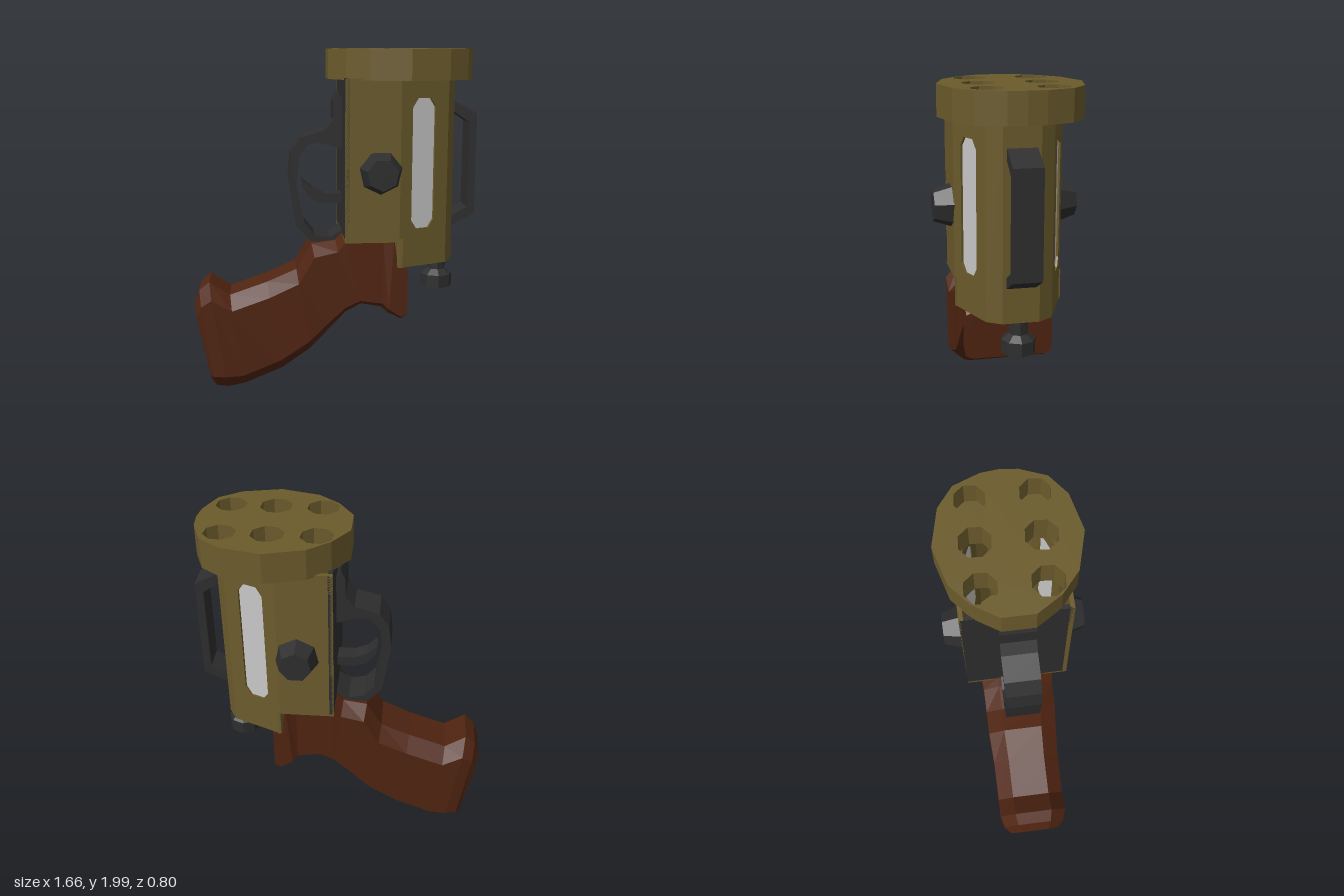
import * as THREE from 'three';

const mat = (name, color) => {
  const m = new THREE.MeshStandardMaterial({ color });
  m.name = name;
  return m;
};

const points = (list) => list.map(([x, y]) => new THREE.Vector2(x, y));

// Facet every face with its own normal
function faceted(geometry) {
  const g = geometry.index ? geometry.toNonIndexed() : geometry;
  g.computeVertexNormals();
  return g;
}

function polygon(cx, cy, r, n) {
  return Array.from({ length: n }, (_, i) => {
    const a = (i / n) * Math.PI * 2 + 0.3;
    return [cx + r * Math.cos(a), cy + r * Math.sin(a)];
  });
}

function extrude(outline, depth, holes = []) {
  const shape = new THREE.Shape(points(outline));
  holes.forEach((h) => shape.holes.push(new THREE.Path(points(h))));
  return new THREE.ExtrudeGeometry(shape, { depth, bevelEnabled: false });
}

// Side profile in x/y, centred on z
const profile = (outline, width) => extrude(outline, width).translate(0, 0, -width / 2);

// Plan outline in x/z, raised from y0 to y1
const slab = (outline, y0, y1, holes) =>
  extrude(outline, y1 - y0, holes).rotateX(-Math.PI / 2).translate(0, y0, 0);

// Upright panel from plan point a to b, its outer face on the line between them
function panel(a, b, outline, holes, depth, inset = 0) {
  const dir = new THREE.Vector3(b[0] - a[0], 0, b[1] - a[1]).normalize();
  const up = new THREE.Vector3(0, 1, 0);
  const basis = new THREE.Matrix4().makeBasis(dir, up, dir.clone().cross(up));
  basis.setPosition(a[0], 0, a[1]);
  return extrude(outline, depth, holes).translate(0, 0, -depth - inset).applyMatrix4(basis);
}

const rect = (x0, y0, x1, y1) => [[x0, y0], [x1, y0], [x1, y1], [x0, y1]];

// Chamfered cross-sections: [topX, topY, bottomX, bottomY, halfWidth, chamfer]
function gripGeometry(stations) {
  const pos = [];
  const index = [];
  for (const [tx, ty, bx, by, w, c] of stations) {
    const k = c < 0.1 ? 0.85 : 0.55;
    const loop = [[0, k], [c, 1], [1 - c, 1], [1, k], [1, -k], [1 - c, -1], [c, -1], [0, -k]];
    for (const [t, s] of loop) pos.push(tx + (bx - tx) * t, ty + (by - ty) * t, s * w);
  }
  const last = (stations.length - 1) * 8;
  for (let i = 0; i < last; i += 8) {
    for (let j = 0; j < 8; j++) {
      const k = (j + 1) % 8;
      index.push(i + j, i + k, i + 8 + k, i + j, i + 8 + k, i + 8 + j);
    }
  }
  for (let j = 1; j < 7; j++) {
    index.push(0, j + 1, j, last, last + j, last + j + 1);
  }
  const g = new THREE.BufferGeometry();
  g.setAttribute('position', new THREE.Float32BufferAttribute(pos, 3));
  g.setIndex(index);
  return faceted(g);
}

export function createModel() {
  const brass = mat('brass', 0x6b5b2c);
  const iron = mat('dark iron', 0x2e2e2f);
  const wood = mat('brown wood', 0x502411);
  const glass = mat('pale window', 0xc8c8c8);

  const model = new THREE.Group();
  model.name = 'handheldDevice';
  const add = (name, geometry, material) => {
    const mesh = new THREE.Mesh(geometry, material);
    mesh.name = name;
    model.add(mesh);
    return mesh;
  };

  // Hollow body made of upright panels
  const plan = [
    [0.04, 0.3], [0.35, 0.3], [0.64, 0.18], [0.69, 0.1],
    [0.69, -0.1], [0.64, -0.18], [0.35, -0.3], [0.04, -0.3],
  ];
  plan.forEach((a, i) => {
    const b = plan[(i + 1) % 8];
    const len = Math.hypot(b[0] - a[0], b[1] - a[1]);
    const back = i === 7;
    const bottom = i === 0 || i === 6 || back ? 0.925 : 0.76;
    const holes = [];
    if (i === 1 || i === 5) {
      // Long window recessed in each slanted panel
      const c = len * (i === 1 ? 0.48 : 0.52);
      holes.push([
        [c - 0.075, 1.03], [c - 0.04, 0.98], [c + 0.04, 0.98], [c + 0.075, 1.03],
        [c + 0.075, 1.67], [c + 0.04, 1.72], [c - 0.04, 1.72], [c - 0.075, 1.67],
      ]);
      add('window', panel(a, b, rect(c - 0.1, 0.95, c + 0.1, 1.75), [], 0.009, 0.012), glass);
    }
    add(back ? 'backPlate' : 'bodyPanel',
      panel(a, b, rect(0, bottom, len, 1.83), holes, 0.025), back ? iron : brass);
  });
  add('bodyStep', panel([0.35, -0.3], [0.35, 0.3], rect(0, 0.76, 0.6, 0.93), [], 0.02), brass);
  add('lowerFloor', slab(plan.slice(1, 7).map(([x, z]) => [x, -z]).reverse(), 0.76, 0.78), brass);
  add('upperFloor', new THREE.BoxGeometry(0.31, 0.02, 0.6).translate(0.195, 0.92, 0), brass);

  // Faceted rim pierced by six openings
  const half = [[-0.04, 0.09], [0.05, 0.23], [0.17, 0.33], [0.39, 0.39], [0.61, 0.34], [0.73, 0.25], [0.79, 0.1]];
  const rim = [...half, [0.8, 0], ...half.map(([x, z]) => [x, -z]).reverse()];
  const openings = [];
  for (const x of [0.13, 0.39, 0.64]) {
    for (const z of [-0.17, 0.17]) openings.push(polygon(x, z, x > 0.6 ? 0.088 : 0.092, 8));
  }
  add('rim', slab(rim, 1.82, 1.99, openings), brass);
  openings.slice(4).forEach((o) => add('openingFloor', slab(o, 1.82, 1.84), brass));

  // Side knobs
  for (const side of [1, -1]) {
    const knob = new THREE.CylinderGeometry(0.09, 0.13, 0.12, 7).rotateX(side * Math.PI / 2);
    add('sideKnob', faceted(knob.translate(0.24, 1.31, side * 0.34)), iron);
  }

  // Bracket handle on the far side from the grip
  add('bracketHandle', profile([
    [0.68, 0.95], [0.83, 1.03], [0.83, 1.62], [0.68, 1.7],
    [0.68, 1.64], [0.785, 1.57], [0.785, 1.07], [0.68, 1.01],
  ], 0.16), iron);

  // Guard loop with its pointed upper end, and trigger inside
  add('triggerGuard', profile([
    [0.045, 1.7], [0.015, 1.755], [-0.01, 1.7], [-0.01, 1.59], [-0.06, 1.53], [-0.2, 1.49],
    [-0.255, 1.41], [-0.27, 1.27], [-0.225, 0.97], [-0.14, 0.88], [-0.04, 0.87], [0.045, 0.9],
    [0.045, 0.95], [-0.03, 0.9], [-0.12, 0.92], [-0.18, 0.99], [-0.225, 1.21], [-0.205, 1.39],
    [-0.15, 1.45], [-0.09, 1.46], [0.045, 1.42],
  ], 0.2), iron);
  add('trigger', profile([
    [0.045, 1.1], [0.045, 1.155], [-0.06, 1.155], [-0.13, 1.185], [-0.19, 1.24],
    [-0.18, 1.18], [-0.13, 1.12], [-0.06, 1.095],
  ], 0.1), iron);

  // Bolt beneath the body
  add('boltShaft', faceted(new THREE.CylinderGeometry(0.052, 0.052, 0.12, 8).translate(0.625, 0.71, 0)), iron);
  add('boltCollar', faceted(new THREE.CylinderGeometry(0.05, 0.095, 0.035, 8).translate(0.625, 0.665, 0)), iron);
  add('boltHead', faceted(new THREE.CylinderGeometry(0.095, 0.095, 0.075, 8).translate(0.625, 0.612, 0)), iron);

  // Curved wooden grip with a flared front end
  add('grip', gripGeometry([
    [-0.83, 0.51, -0.73, 0.02, 0.15, 0.14],
    [-0.8, 0.6, -0.71, 0.005, 0.18, 0.14],
    [-0.74, 0.65, -0.64, 0, 0.2, 0.14],
    [-0.62, 0.57, -0.54, 0.02, 0.2, 0.14],
    [-0.4, 0.645, -0.32, 0.11, 0.2, 0.14],
    [-0.23, 0.72, -0.15, 0.23, 0.21, 0.14],
    [-0.14, 0.87, -0.04, 0.345, 0.21, 0.12],
    [0, 0.89, 0.06, 0.45, 0.21, 0.12],
    [0.04, 0.935, 0.15, 0.5, 0.215, 0.1],
    [0.27, 0.935, 0.27, 0.48, 0.22, 0.1],
    [0.33, 0.935, 0.3, 0.47, 0.247, 0.06],
    [0.35, 0.78, 0.375, 0.43, 0.247, 0.06],
    [0.41, 0.73, 0.41, 0.45, 0.247, 0.06],
  ]), wood);

  return model;
}
